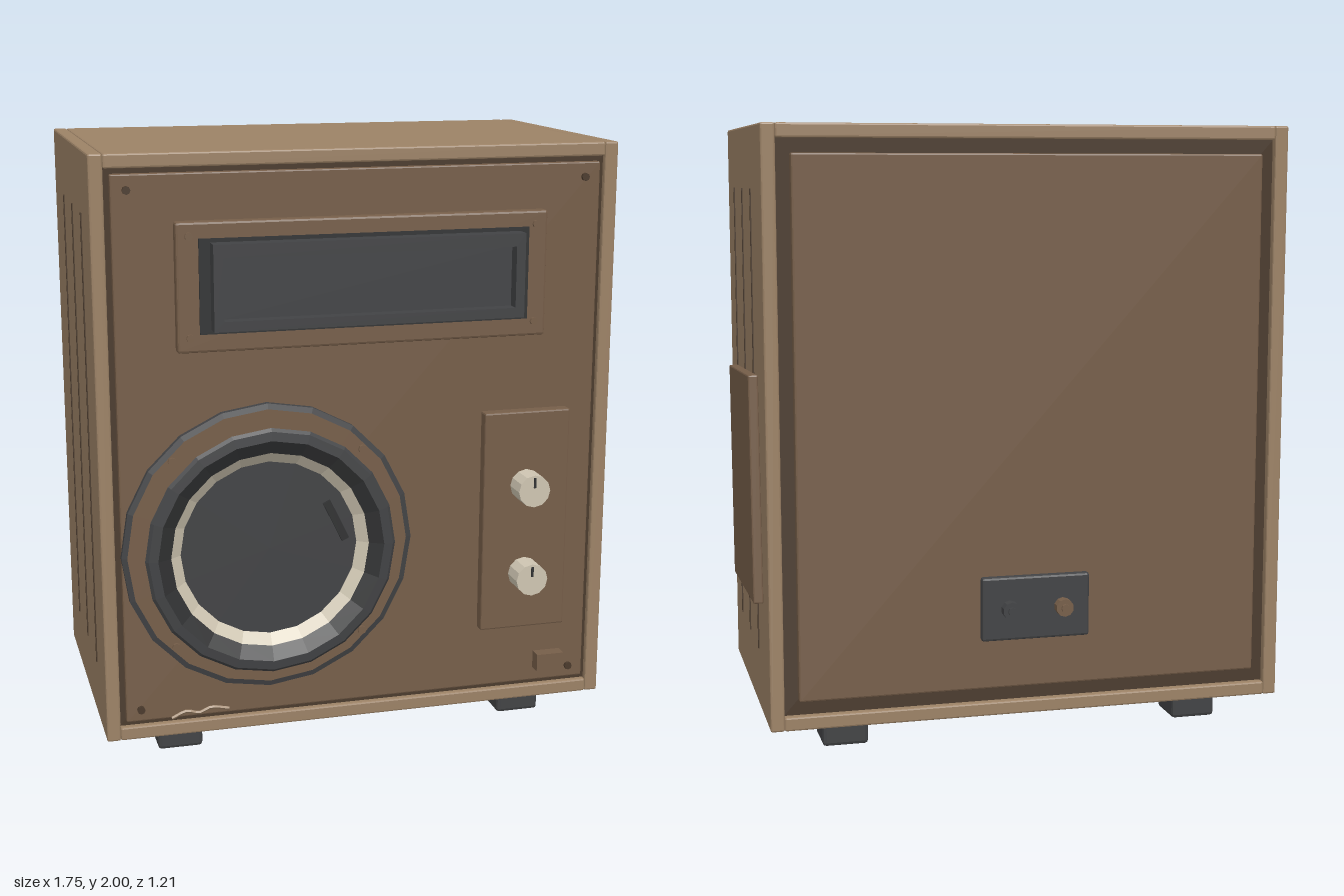
import * as THREE from 'three';
import { RoundedBoxGeometry } from 'three/addons/geometries/RoundedBoxGeometry.js';

const mat = (name, color, opts = {}) => {
  const m = new THREE.MeshStandardMaterial({ color, flatShading: true, ...opts });
  m.name = name;
  return m;
};

export function createModel() {
  const double = { side: THREE.DoubleSide };
  const M = {
    wood: mat('light wood', 0x9c8266),
    brown: mat('brown panel', 0x765e49, double),
    groove: mat('dark brown', 0x4a3a2c),
    grey: mat('charcoal', 0x424345, double),
    black: mat('near black', 0x313233, double),
    cream: mat('cream', 0xcfc6b2, double),
  };
  const root = new THREE.Group();
  const add = (name, geo, material, x = 0, y = 0, z = 0, parent = root) => {
    const mesh = new THREE.Mesh(geo, material);
    mesh.name = name;
    mesh.position.set(x, y, z);
    parent.add(mesh);
    return mesh;
  };
  // Box given by its limits, with an optional bevel
  const box = (name, material, [x0, x1], [y0, y1], [z0, z1], bevel = 0) => {
    const s = [x1 - x0, y1 - y0, z1 - z0];
    const geo = bevel ? new RoundedBoxGeometry(...s, 1, bevel) : new THREE.BoxGeometry(...s);
    return add(name, geo, material, (x0 + x1) / 2, (y0 + y1) / 2, (z0 + z1) / 2);
  };
  // Cylinder lying along z
  const disc = (name, material, r, x, y, z0, z1, sides = 12) =>
    add(name, new THREE.CylinderGeometry(r, r, z1 - z0, sides).rotateX(Math.PI / 2), material, x, y, (z0 + z1) / 2);
  // Ring profile of [radius, z] turned around the z axis
  const ring = (name, material, profile, x, y) =>
    add(name, new THREE.LatheGeometry(profile.map(p => new THREE.Vector2(...p)), 20).rotateX(Math.PI / 2), material, x, y);

  // Cabinet boards
  const depth = [-0.53, 0.45];
  box('leftBoard', M.wood, [0.795, 0.84], [0.1, 2], depth, 0.006);
  box('rightBoard', M.wood, [-0.872, -0.827], [0.1, 2], depth, 0.006);
  box('topBoard', M.wood, [-0.827, 0.795], [1.955, 2], depth, 0.006);
  box('bottomBoard', M.wood, [-0.827, 0.795], [0.1, 0.145], depth, 0.006);
  box('innerBody', M.groove, [-0.827, 0.795], [0.145, 1.955], [-0.505, 0.43]);

  // Front baffle and back panel
  box('frontBaffle', M.brown, [-0.808, 0.778], [0.163, 1.938], [0.4, 0.452], 0.005);
  box('backPanel', M.brown, [-0.78, 0.75], [0.195, 1.91], [-0.54, -0.48], 0.006);

  // Grooves on both sides
  for (const x of [-0.872, 0.84])
    for (const z of [0.24, -0.005, -0.25])
      box('sideGroove', M.groove, [x - 0.004, x + 0.004], [0.3, 1.8], [z - 0.004, z + 0.004]);

  // Tilted plate on the left side
  box('sidePlate', M.brown, [0.842, 0.874], [0.475, 1.205], [-0.395, 0.195], 0.005).rotation.x = 0.05;

  // Feet
  for (const x of [-0.615, 0.585])
    for (const z of [0.275, -0.355])
      box('foot', M.grey, [x - 0.075, x + 0.075], [0.005, 0.1], [z - 0.075, z + 0.075], 0.012);

  // Display bezel, backing, frame with opening, and screen
  box('displayBezel', M.brown, [-0.62, 0.585], [1.387, 1.793], [0.452, 0.497], 0.008);
  box('displayBacking', M.black, [-0.55, 0.52], [1.445, 1.742], [0.49, 0.503]);
  const rect = (Kind, x0, x1, y0, y1) => {
    const s = new Kind();
    s.moveTo(x0, y0).lineTo(x1, y0).lineTo(x1, y1).lineTo(x0, y1).closePath();
    return s;
  };
  const frame = rect(THREE.Shape, -0.515, 0.49, 1.46, 1.73);
  frame.holes.push(rect(THREE.Path, -0.483, 0.46, 1.492, 1.688));
  add('displayFrame', new THREE.ExtrudeGeometry(frame, { depth: 0.052, bevelEnabled: false }), M.grey, 0, 0, 0.503);
  box('displayScreen', M.grey, [-0.483, 0.46], [1.492, 1.688], [0.503, 0.512]);

  // Speaker: mounting ring, surround, cream trim and cone
  const sx = -0.333, sy = 0.73;
  ring('speakerRim', M.grey, [[0.478, 0.452], [0.478, 0.472], [0.46, 0.477]], sx, sy);
  ring('speakerFlange', M.brown, [[0.46, 0.477], [0.36, 0.477]], sx, sy);
  ring('speakerSurround', M.grey, [[0.375, 0.477], [0.385, 0.505], [0.41, 0.52], [0.4, 0.53], [0.37, 0.533]], sx, sy);
  ring('speakerThroat', M.black, [[0.37, 0.533], [0.325, 0.508]], sx, sy);
  ring('speakerTrim', M.cream, [[0.325, 0.508], [0.29, 0.48]], sx, sy);
  ring('speakerCone', M.grey, [[0.29, 0.48], [0.0001, 0.48]], sx, sy);
  box('coneMark', M.black, [-0.126, -0.1], [0.735, 0.88], [0.478, 0.49]).rotation.z = 0.45;

  // Screws
  for (const x of [-0.76, 0.725]) for (const y of [0.205, 1.89]) disc('baffleScrew', M.groove, 0.013, x, y, 0.45, 0.464, 8);
  for (const x of [-0.58, 0.545]) for (const y of [1.435, 1.75]) disc('bezelScrew', M.brown, 0.013, x, y, 0.495, 0.506, 8);
  for (const x of [-0.31, 0.31]) for (const y of [-0.31, 0.31]) disc('speakerScrew', M.brown, 0.014, sx + x, sy + y, 0.475, 0.487, 8);

  // Control panel and knobs
  box('controlPanel', M.brown, [0.38, 0.675], [0.39, 1.14], [0.475, 0.52], 0.006);
  for (const y of [0.89, 0.585]) {
    disc('knob', M.cream, 0.054, 0.526, y, 0.52, 0.602, 12);
    box('knobPointer', M.black, [0.522, 0.53], [y + 0.012, y + 0.046], [0.6, 0.605]);
  }
  box('smallBlock', M.brown, [0.58, 0.675], [0.228, 0.288], [0.492, 0.535]);

  // Frayed strand near the lower edge
  const strand = [[-0.66, 0.165], [-0.61, 0.185], [-0.57, 0.175], [-0.53, 0.19], [-0.47, 0.18]];
  const curve = new THREE.CatmullRomCurve3(strand.map(([x, y]) => new THREE.Vector3(x, y, 0.458)));
  add('looseStrand', new THREE.TubeGeometry(curve, 12, 0.006, 5), M.wood);

  // Rear terminal plate and posts
  box('terminalPlate', M.grey, [-0.197, 0.162], [0.358, 0.567], [-0.565, -0.535], 0.008);
  for (const [x, m] of [[-0.106, M.brown], [0.071, M.grey]]) {
    disc('terminalPost', m, 0.029, x, 0.462, -0.597, -0.563, 10);
    disc('terminalTip', m, 0.014, x, 0.462, -0.606, -0.595, 8);
  }
  return root;
}
